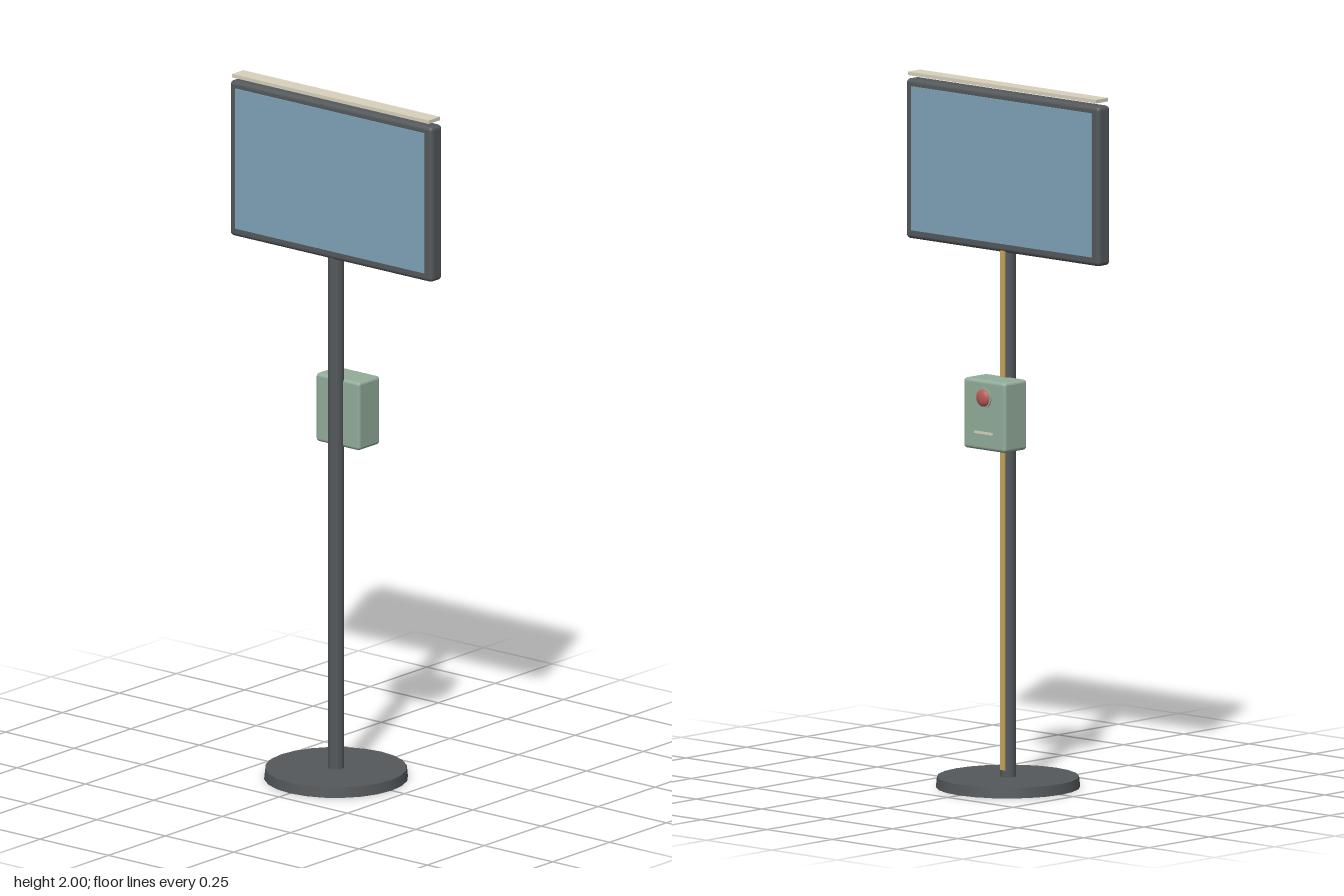
import * as THREE from 'three';
import { RoundedBoxGeometry } from 'three/addons/geometries/RoundedBoxGeometry.js';

const material = (color) => new THREE.MeshStandardMaterial({ color });

export function createModel() {
  const model = new THREE.Group();
  const dark = material(0x55595c);
  const blue = material(0x7fa3b8);
  const green = material(0x93ad9b);
  const cream = material(0xd8d2bd);
  const gold = material(0xc9a65c);
  const red = material(0xb85a55);

  const add = (name, geometry, mat, x, y, z) => {
    const mesh = new THREE.Mesh(geometry, mat);
    mesh.name = name;
    mesh.position.set(x, y, z);
    model.add(mesh);
    return mesh;
  };

  // Foot and post
  add('base', new THREE.CylinderGeometry(0.2, 0.203, 0.03, 24), dark, 0, 0.015, 0);
  add('pole', new THREE.CylinderGeometry(0.023, 0.023, 1.52, 16), dark, 0, 0.78, 0);
  // Thin strip running up the back of the post
  add('poleStrip', new THREE.BoxGeometry(0.018, 1.48, 0.004), gold, 0, 0.79, -0.0215);

  // Sign: dark housing with a panel on each face and a cap strip above
  add('signFrame', new RoundedBoxGeometry(0.74, 0.455, 0.05, 3, 0.012), dark, 0, 1.7525, 0);
  for (const side of [1, -1]) {
    add(side > 0 ? 'frontPanel' : 'backPanel',
      new THREE.BoxGeometry(0.69, 0.41, 0.006), blue, 0, 1.755, side * 0.0255);
  }
  add('topStrip', new THREE.BoxGeometry(0.72, 0.01, 0.05), cream, 0, 1.995, 0);

  // Control box on the back of the post
  add('controlBox', new RoundedBoxGeometry(0.16, 0.2, 0.095, 3, 0.01), green, 0, 1.07, -0.0525);
  const rim = add('buttonRim', new THREE.CylinderGeometry(0.029, 0.029, 0.006, 24), green, 0, 1.12, -0.101);
  rim.rotation.x = Math.PI / 2;
  const button = add('button', new THREE.SphereGeometry(0.025, 20, 12), red, 0, 1.12, -0.102);
  button.scale.z = 0.5;
  add('slot', new THREE.BoxGeometry(0.07, 0.007, 0.004), cream, 0, 1.02, -0.1);

  return model;
}
